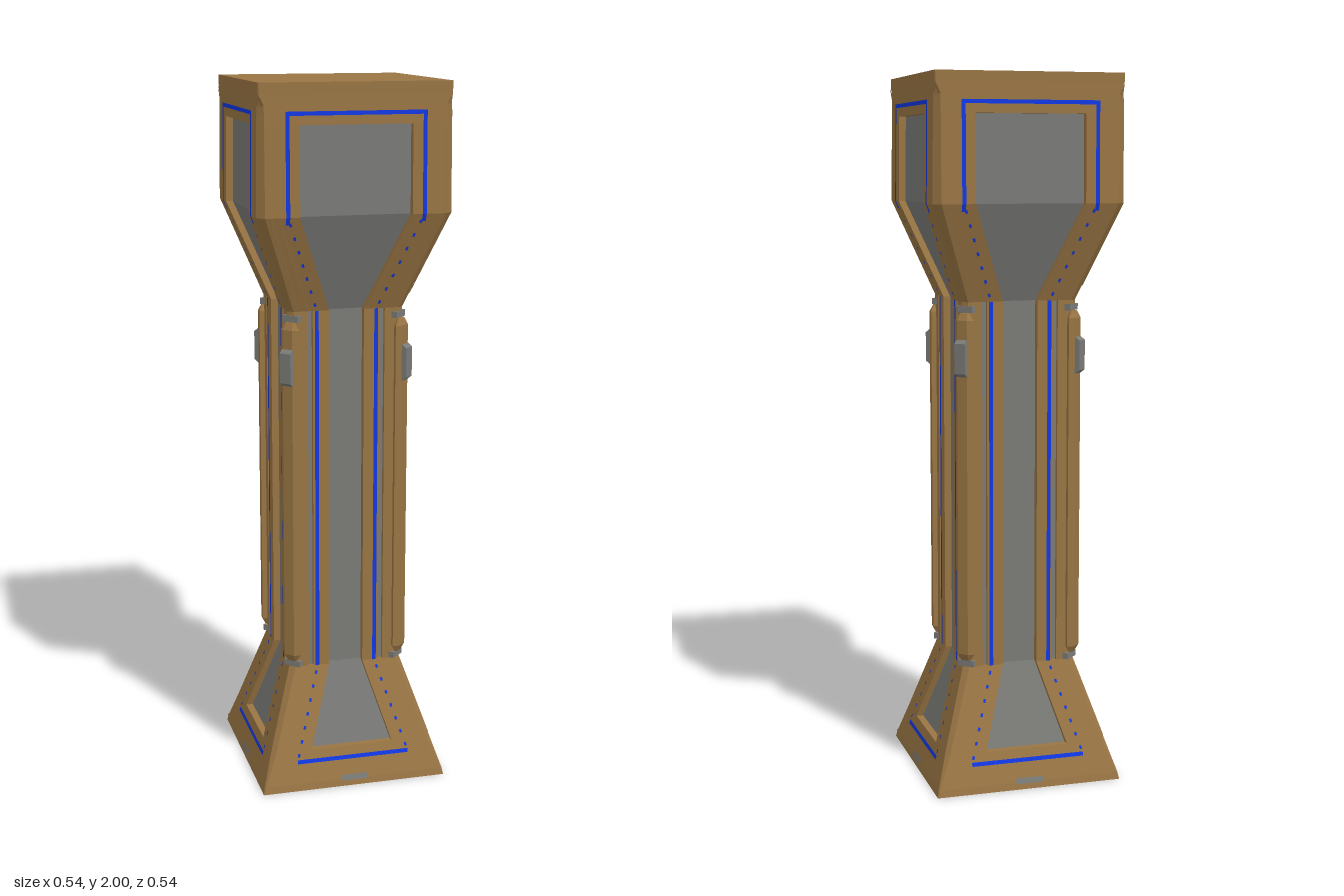
import * as THREE from 'three';

const mat = (name, color) => Object.assign(new THREE.MeshStandardMaterial({ color }), { name });

// Rows up one side: y, face distance h, panel half-width p, groove f..g,
// chamfer start e, panel recess d, groove depth k
const ROWS = [
  [0.00, 0.270, 0.120, 0.200, 0.210, 0.268, 0, 0],
  [0.02, 0.266, 0.120, 0.200, 0.210, 0.262, 0, 0],
  [0.11, 0.238, 0.120, 0.180, 0.192, 0.226, 0, 0],
  [0.11, 0.238, 0.120, 0.180, 0.192, 0.226, 0.02, 0],
  [0.34, 0.165, 0.050, 0.096, 0.110, 0.150, 0.02, 0],
  [0.34, 0.165, 0.050, 0.096, 0.110, 0.150, 0.02, 0.012],
  [1.38, 0.165, 0.050, 0.096, 0.110, 0.150, 0.02, 0.012],
  [1.38, 0.165, 0.050, 0.096, 0.110, 0.150, 0.02, 0],
  [1.65, 0.270, 0.155, 0.210, 0.224, 0.250, 0.02, 0],
  [1.89, 0.267, 0.155, 0.210, 0.224, 0.250, 0.02, 0],
  [1.89, 0.267, 0.155, 0.210, 0.224, 0.250, 0, 0],
  [1.94, 0.266, 0.155, 0.210, 0.224, 0.250, 0, 0],
  [1.97, 0.265, 0.155, 0.210, 0.224, 0.263, 0, 0],
  [2.00, 0.265, 0.155, 0.210, 0.224, 0.264, 0, 0],
];

// Value of a row column at height y
function at(y, col) {
  for (let i = 1; i < ROWS.length; i++) {
    const a = ROWS[i - 1], b = ROWS[i];
    if (y <= b[0] && b[0] > a[0]) return a[col] + (b[col] - a[col]) * (y - a[0]) / (b[0] - a[0]);
  }
  return ROWS[ROWS.length - 1][col];
}
const faceZ = y => at(y, 1) + 0.002;
const panelZ = y => at(y, 1) - 0.02 + 0.002;
const cornerZ = y => (at(y, 1) + at(y, 5)) / Math.SQRT2 + 0.002;

function geometryFrom(positions) {
  const g = new THREE.BufferGeometry();
  g.setAttribute('position', new THREE.Float32BufferAttribute(positions, 3));
  g.computeVertexNormals();
  return g;
}
function quad(out, a, b, c, d) {
  out.push(...a, ...b, ...c, ...a, ...c, ...d);
}

// One full side plus its right-hand chamfer, sorted into three colours
function sideGeometries() {
  const section = ([y, h, p, f, g, e, d, k]) => [
    [-e, h], [-g, h], [-g, h - k], [-f, h - k], [-f, h], [-p, h], [-p, h - d],
    [p, h - d], [p, h], [f, h], [f, h - k], [g, h - k], [g, h], [e, h], [h, e],
  ].map(([x, z]) => [x, y, z]);
  const out = { frame: [], panel: [], groove: [] };
  for (let r = 0; r + 1 < ROWS.length; r++) {
    const a = section(ROWS[r]), b = section(ROWS[r + 1]);
    const recessed = ROWS[r][6] > 0 && ROWS[r + 1][6] > 0;
    const grooved = ROWS[r][7] > 0 && ROWS[r + 1][7] > 0;
    for (let i = 0; i < 14; i++) {
      let key = 'frame';
      if (i === 6 && recessed) key = 'panel';
      if ((i === 2 || i === 10) && grooved) key = 'groove';
      quad(out[key], a[i], a[i + 1], b[i + 1], b[i]);
    }
  }
  return out;
}

// Thin flat strips along paths of [x, y], laid on a surface of depth z(y)
function strips(paths, width, z) {
  const out = [];
  for (const path of paths) {
    for (let i = 1; i < path.length; i++) {
      const [x0, y0] = path[i - 1], [x1, y1] = path[i];
      const len = Math.hypot(x1 - x0, y1 - y0);
      const ux = (x1 - x0) / len * width / 2, uy = (y1 - y0) / len * width / 2;
      const pt = (x, y) => [x, y, z(y)];
      quad(out, pt(x0 + uy, y0 - ux), pt(x1 + uy, y1 - ux), pt(x1 - uy, y1 + ux), pt(x0 - uy, y0 + ux));
    }
  }
  return geometryFrom(out);
}
const mirrored = paths => [...paths, ...paths.map(p => p.map(([x, y]) => [-x, y]))];

// Short dashes between two points
function dashes([x0, y0], [x1, y1], n) {
  return Array.from({ length: n }, (_, i) => [i + 0.35, i + 0.6].map(t =>
    [x0 + (x1 - x0) * t / n, y0 + (y1 - y0) * t / n]));
}

const LIGHTS = mirrored([
  [[0.085, 0.34], [0.085, 1.38]],
  [[0.188, 1.63], [0.188, 1.65], [0.188, 1.925]],
  [[0, 1.92], [0.188, 1.92]],
  [[0, 0.08], [0.165, 0.08]],
]);
const LIGHT_DASHES = mirrored([
  ...dashes([0.085, 1.38], [0.188, 1.65], 7),
  ...dashes([0.165, 0.08], [0.085, 0.34], 7),
]);
const TRIM = mirrored([
  [[0.262, 0.018], [0.222, 0.05], [0.14, 0.335]],
  [[0.262, 1.968], [0.232, 1.93], [0.232, 1.65], [0.135, 1.38]],
  [[0.212, 1.9], [0.212, 1.65], [0.108, 1.38]],
]);
// Plate seams: stepped on front and back, fanned on the other two sides
const SEAMS_STEPPED = [
  [[-0.127, 1.65], [-0.127, 1.87], [0.075, 1.87], [0.075, 1.82], [0.13, 1.82], [0.13, 1.65]],
  [[-0.127, 1.8], [0.075, 1.8]], [[0.075, 1.82], [0.075, 1.7], [0.13, 1.7]],
  [[-0.05, 1.62], [0.07, 1.62], [0.035, 1.47], [-0.04, 1.47]],
  [[-0.08, 1.6], [-0.025, 1.46], [-0.025, 1.38]],
  [[0.012, 1.46], [0.012, 1.38], [0.012, 1.3], [0.045, 1.3]], [[0.012, 1.3], [0.012, 1.22]],
  [[-0.03, 1.2], [-0.03, 0.78], [-0.015, 0.76], [-0.015, 0.34]],
  [[0.028, 1.22], [0.028, 0.5], [0.012, 0.47], [0.012, 0.34]],
  [[-0.05, 0.28], [0.01, 0.28], [0.01, 0.31], [0.05, 0.31]],
  [[-0.08, 0.2], [-0.02, 0.2], [-0.02, 0.14], [0.08, 0.14]],
];
const SEAMS_FANNED = [
  ...mirrored([[[0.125, 1.81], [0.125, 1.65], [0.033, 1.38], [0.033, 0.7]],
    [[0.07, 1.88], [0.07, 1.65], [0.018, 1.38], [0.018, 1.0]]]),
  [[0.0, 1.88], [0.0, 1.65], [0.0, 1.52], [-0.035, 1.52]], [[0.04, 1.6], [0.04, 1.51], [0.07, 1.51]],
  [[0.018, 1.0], [0.018, 0.68], [-0.005, 0.66], [-0.005, 0.34]],
  [[-0.05, 0.29], [0.02, 0.29], [0.02, 0.25], [0.07, 0.25]],
  [[-0.07, 0.21], [0.05, 0.21], [0.05, 0.23]], [[-0.03, 0.26], [0.06, 0.26]],
];

export function createModel() {
  const bronze = mat('bronze', 0x997544);
  const grey = mat('panelGrey', 0x7a7a77);
  const blue = mat('blueLight', 0x1238e4);
  const model = new THREE.Group();
  model.name = 'column';
  const add = (parent, name, geometry, material) => {
    const m = new THREE.Mesh(geometry, material);
    m.name = name;
    parent.add(m);
    return m;
  };

  const side = sideGeometries();
  const frameGeo = geometryFrom(side.frame), panelGeo = geometryFrom(side.panel), grooveGeo = geometryFrom(side.groove);
  const lightGeo = strips(LIGHTS, 0.011, faceZ);
  const dashGeo = strips(LIGHT_DASHES, 0.007, faceZ);
  const trimGeo = strips(TRIM, 0.005, faceZ);
  const seamGeos = [SEAMS_STEPPED, SEAMS_FANNED].map(s => strips(s, 0.007, panelZ));
  const slotGeo = strips([[[-0.04, 0.024], [0.04, 0.024]]], 0.016, faceZ);
  const cornerSeamGeo = strips(mirrored([[[0.009, 1.42], [0.009, 1.65], [0.009, 1.92], [0, 1.95]],
    [[0.006, 0.12], [0.006, 0.32]]]), 0.004, cornerZ);

  // Chamfered corner post with bevelled ends
  const post = new THREE.Shape([[0.138, 0.138], [0.18, 0.138], [0.18, 0.158], [0.158, 0.18], [0.138, 0.18]]
    .map(([x, y]) => new THREE.Vector2(x, y)));
  const postGeo = new THREE.ExtrudeGeometry(post, {
    depth: 0.95, bevelEnabled: true, bevelThickness: 0.02, bevelSize: 0.01, bevelOffset: -0.01, bevelSegments: 1,
  });
  postGeo.rotateX(Math.PI / 2).translate(0, 1.33, 0);

  // Badge with sloping ends
  const badge = new THREE.Shape([[0, -0.06], [0.024, -0.042], [0.024, 0.042], [0, 0.06]]
    .map(([x, y]) => new THREE.Vector2(x, y)));
  const badgeGeo = new THREE.ExtrudeGeometry(badge, { depth: 0.034, bevelEnabled: false });
  badgeGeo.translate(0, 0, -0.017).rotateY(-Math.PI / 2);

  for (let i = 0; i < 4; i++) {
    const s = new THREE.Group();
    s.name = ['front', 'left', 'back', 'right'][i] + 'Side';
    s.rotation.y = i * Math.PI / 2;
    model.add(s);
    add(s, 'frame', frameGeo, bronze);
    add(s, 'recessedPanel', panelGeo, grey);
    add(s, 'frameGroove', grooveGeo, grey);
    add(s, 'lightStrips', lightGeo, blue);
    add(s, 'lightDashes', dashGeo, blue);
    add(s, 'frameTrim', trimGeo, bronze);
    add(s, 'panelSeams', seamGeos[i % 2], grey);
    add(s, 'baseSlot', slotGeo, grey);
    add(s, 'cornerPost', postGeo, bronze);

    // Details facing out along the diagonal
    const corner = new THREE.Group();
    corner.name = 'cornerDetails';
    corner.rotation.y = Math.PI / 4;
    s.add(corner);
    add(corner, 'cornerSeams', cornerSeamGeo, bronze);
    add(corner, 'cornerBadge', badgeGeo, grey).position.set(0, 1.225, 0.228);
    for (const y of [0.35, 1.36]) {
      add(corner, 'neckCollar', new THREE.BoxGeometry(0.05, 0.018, 0.03), grey).position.set(0, y, 0.21);
    }
  }

  // Top and bottom caps
  const cap = (name, half, y, turn) => {
    const c = add(model, name, new THREE.PlaneGeometry(half * 2, half * 2), bronze);
    c.rotation.x = turn;
    c.position.y = y;
  };
  cap('topCap', 0.265, 2, -Math.PI / 2);
  cap('bottomCap', 0.27, 0, Math.PI / 2);
  return model;
}
